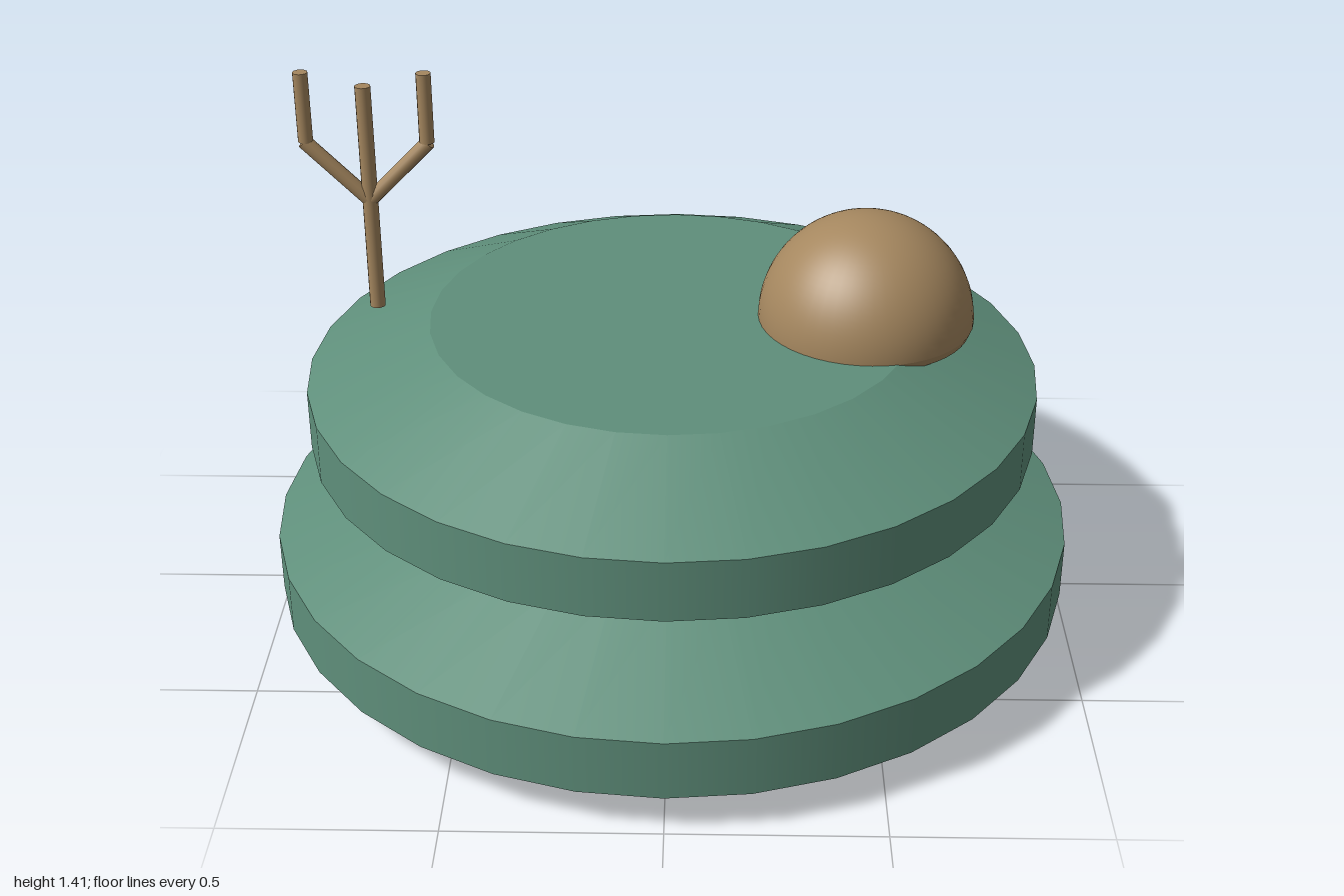
import * as THREE from 'three';
import { mergeGeometries } from 'three/addons/utils/BufferGeometryUtils.js';

const green = new THREE.MeshStandardMaterial({ color: 0x5f8f7b });
green.name = 'sage green';
const brown = new THREE.MeshStandardMaterial({ color: 0xa5875f });
brown.name = 'tan brown';

function mesh(name, geometry, material) {
  const m = new THREE.Mesh(geometry, material);
  m.name = name;
  return m;
}

// Bevelled disc: rings of [radius, y] from bottom to top, smooth around, sharp between bands
function disc(name, rings) {
  const parts = [];
  for (let i = 0; i < rings.length - 1; i++) {
    const [r0, y0] = rings[i];
    const [r1, y1] = rings[i + 1];
    parts.push(new THREE.CylinderGeometry(r1, r0, y1 - y0, 32, 1, true).translate(0, (y0 + y1) / 2, 0));
  }
  const [rb, yb] = rings[0];
  const [rt, yt] = rings[rings.length - 1];
  parts.push(new THREE.CircleGeometry(rb, 32).rotateX(Math.PI / 2).translate(0, yb, 0));
  parts.push(new THREE.CircleGeometry(rt, 32).rotateX(-Math.PI / 2).translate(0, yt, 0));
  return mesh(name, mergeGeometries(parts), green);
}

// Round rod between two points in the x-y plane
function rod(name, x0, y0, x1, y1, radius) {
  const dx = x1 - x0, dy = y1 - y0;
  const g = new THREE.CylinderGeometry(radius, radius, Math.hypot(dx, dy), 12);
  g.rotateZ(-Math.atan2(dx, dy)).translate((x0 + x1) / 2, (y0 + y1) / 2, 0);
  return mesh(name, g, brown);
}

export function createModel() {
  const model = new THREE.Group();
  model.name = 'stackedDiscs';

  // Two stacked discs with a narrow gap between them
  model.add(disc('lowerDisc', [[0.7, 0], [1, 0.1], [1, 0.25], [0.655, 0.385]]));
  model.add(disc('upperDisc', [[0.635, 0.405], [0.9, 0.5], [0.9, 0.65], [0.595, 0.785]]));

  // Dome with a slightly tucked-in, closed foot
  const R = 0.264;
  const dome = new THREE.Group();
  dome.name = 'dome';
  dome.position.set(0.475, 0.785, 0);
  dome.add(mesh('domeShell', new THREE.SphereGeometry(R, 48, 24, 0, Math.PI * 2, 0, Math.PI / 2), brown));
  dome.add(mesh('domeFoot', new THREE.CylinderGeometry(R, 0.256, 0.02, 48, 1, true).translate(0, -0.01, 0), brown));
  dome.add(mesh('domeBase', new THREE.CircleGeometry(0.256, 48).rotateX(Math.PI / 2).translate(0, -0.02, 0), brown));
  model.add(dome);

  // Three-pronged branch hovering over the rim
  const branch = new THREE.Group();
  branch.name = 'branch';
  branch.position.x = -0.725;
  branch.add(rod('trunk', 0, 0.803, 0, 1.375, 0.019));
  for (const s of [-1, 1]) {
    branch.add(rod('armSlope', 0, 1.085, s * 0.148, 1.235, 0.018));
    branch.add(rod('armTip', s * 0.144, 1.235, s * 0.144, 1.408, 0.018));
  }
  model.add(branch);

  return model;
}
